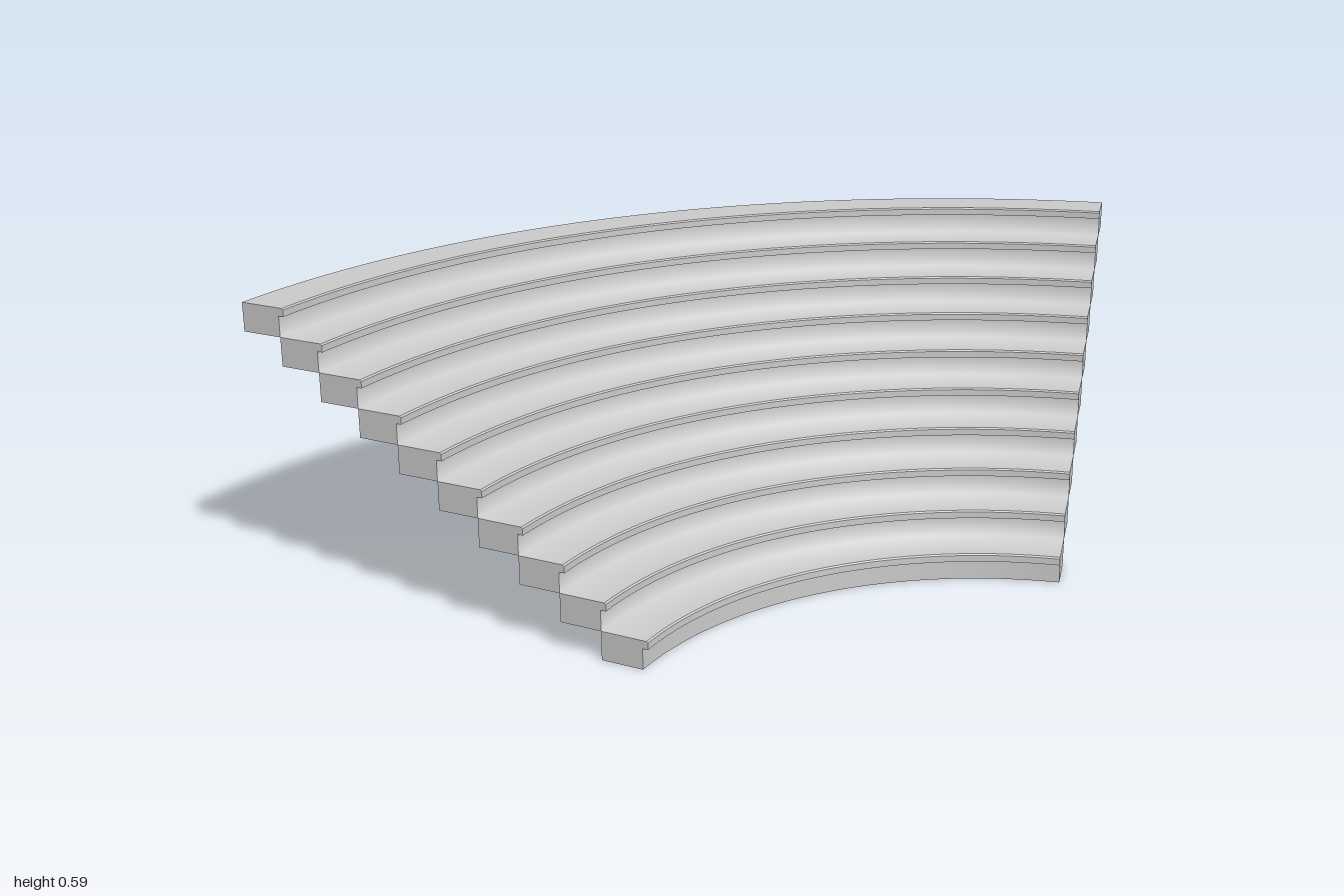
import * as THREE from 'three';

const STEPS = 10, SEGMENTS = 56;
const RUN = 0.0877, RISE = 0.059;
const INNER = 0.734, NOSE = 0.0115, LIP = 0.0165, BEVEL = 0.003;
const CENTRE_Z = 1.0875;
const HALF_ANGLE = Math.asin(1 / (INNER + STEPS * RUN));
const SOFT = [-Math.SQRT1_2, Math.SQRT1_2];

// The stair is an open shell, seen from both sides
const material = new THREE.MeshStandardMaterial({ color: 0xcccccc, side: THREE.DoubleSide });

// Curved strip swept between two [radius, height] points, facing left of the path.
// Optional normals [radial, up] soften the shading at either edge.
function band(name, [r0, y0], [r1, y1], n0, n1) {
  const len = Math.hypot(r1 - r0, y1 - y0);
  const flat = [-(y1 - y0) / len, (r1 - r0) / len];
  const position = [], normal = [], index = [];
  for (let j = 0; j <= SEGMENTS; j++) {
    const a = HALF_ANGLE * (2 * j / SEGMENTS - 1);
    const s = Math.sin(a), c = Math.cos(a);
    for (const [r, y, n] of [[r0, y0, n0 || flat], [r1, y1, n1 || flat]]) {
      position.push(r * s, y, CENTRE_Z - r * c);
      normal.push(n[0] * s, n[1], -n[0] * c);
    }
    if (j < SEGMENTS) {
      const k = 2 * j;
      index.push(k, k + 2, k + 1, k + 1, k + 2, k + 3);
    }
  }
  const g = new THREE.BufferGeometry();
  g.setAttribute('position', new THREE.Float32BufferAttribute(position, 3));
  g.setAttribute('normal', new THREE.Float32BufferAttribute(normal, 3));
  g.setIndex(index);
  const mesh = new THREE.Mesh(g, material);
  mesh.name = name;
  return mesh;
}

// Flat end of a step; side is +1 for the left end, -1 for the right
function endFace(profile, side) {
  const shape = new THREE.Shape(profile.map(([r, y]) => new THREE.Vector2(side * r, y)));
  const mesh = new THREE.Mesh(new THREE.ShapeGeometry(shape), material);
  mesh.rotation.y = side * (Math.PI / 2 - HALF_ANGLE);
  mesh.position.z = CENTRE_Z;
  mesh.name = side > 0 ? 'leftEnd' : 'rightEnd';
  return mesh;
}

export function createModel() {
  const model = new THREE.Group();
  model.name = 'curvedStairs';

  for (let i = 0; i < STEPS; i++) {
    const step = new THREE.Group();
    step.name = `step${i + 1}`;
    const r = INNER + i * RUN, back = r + RUN, nose = r - NOSE;
    const y = i * RISE, top = y + RISE;

    // Cross-section: riser, overhanging nosing, tread; open behind and below
    const path = [
      [r, y], [r, top - LIP], [nose, top - LIP],
      [nose, top - BEVEL], [nose + BEVEL, top], [back, top],
    ];
    const names = ['riser', 'nosingUnderside', 'nosingFront', 'nosingBevel', 'tread'];
    names.forEach((name, k) => {
      // Each tread shades softly into the foot of the next riser
      const n0 = name === 'riser' && i > 0 ? SOFT : null;
      const n1 = name === 'tread' && i < STEPS - 1 ? SOFT : null;
      step.add(band(name, path[k], path[k + 1], n0, n1));
    });

    const outline = [...path, [back, y]];
    step.add(endFace(outline, 1), endFace(outline, -1));
    model.add(step);
  }
  return model;
}
